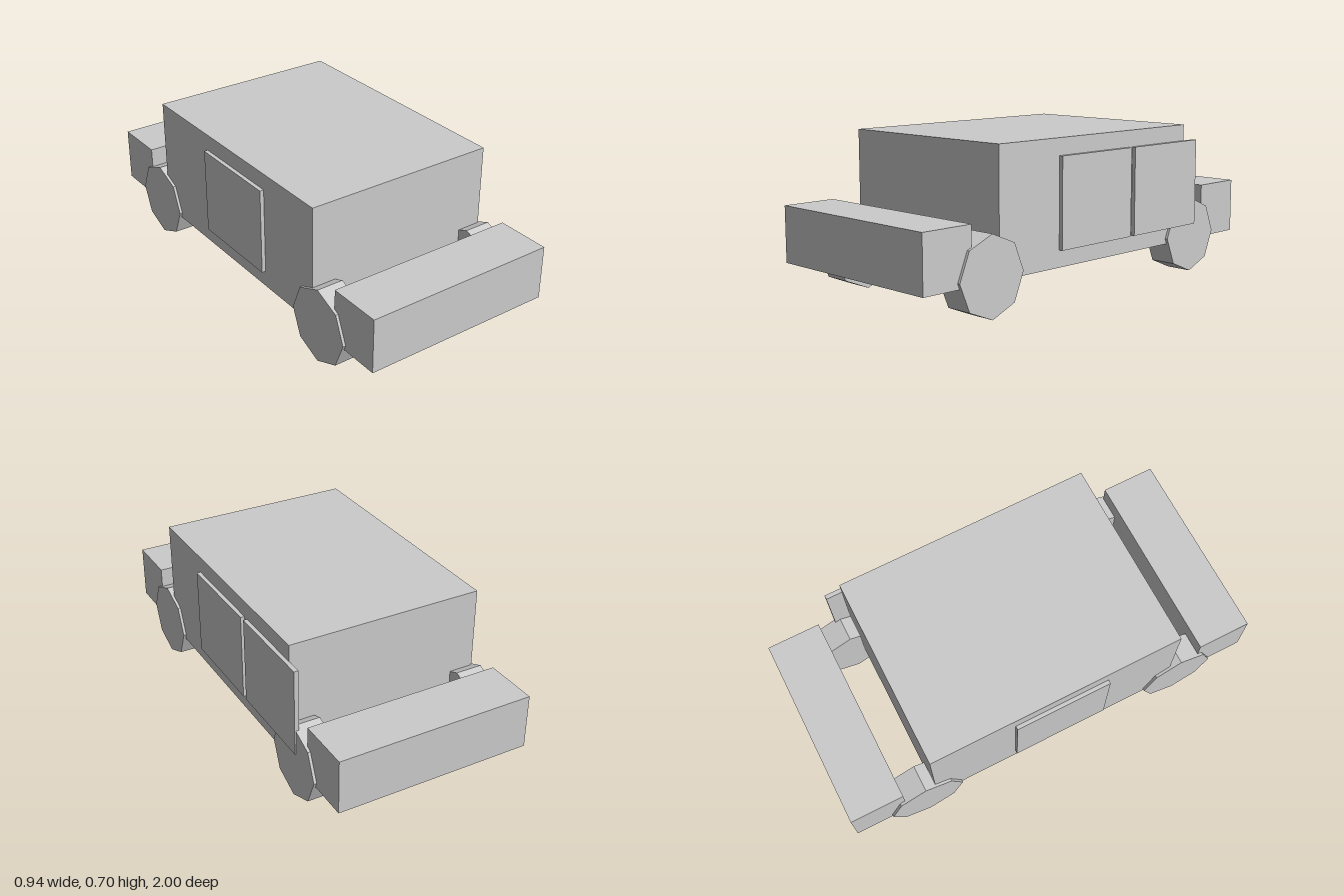
import * as THREE from 'three';

const material = new THREE.MeshStandardMaterial({ color: 0xcccccc, flatShading: true });

export function createModel() {
  const model = new THREE.Group();

  function add(name, geometry, x, y, z) {
    const mesh = new THREE.Mesh(geometry, material);
    mesh.name = name;
    mesh.position.set(x, y, z);
    model.add(mesh);
  }

  // Main cabin block
  add('body', new THREE.BoxGeometry(0.9, 0.55, 1.2), 0, 0.425, 0);

  // Bumper blocks, separated from the body by a gap at each end
  const bumper = new THREE.BoxGeometry(0.9, 0.25, 0.25);
  add('frontBumper', bumper, 0, 0.275, 0.875);
  add('rearBumper', bumper, 0, 0.275, -0.875);

  // Eight-sided wheels with a corner pointing down
  const wheel = new THREE.CylinderGeometry(0.175, 0.175, 0.125, 8).rotateZ(Math.PI / 2);
  for (const [end, z] of [['front', 0.65], ['rear', -0.65]]) {
    add(end + 'LeftWheel', wheel, 0.4, 0.175, z);
    add(end + 'RightWheel', wheel, -0.4, 0.175, z);
  }

  // Thin door panels: two on the left, one on the right
  const door = new THREE.BoxGeometry(0.02, 0.4, 0.45);
  add('frontLeftDoor', door, 0.458, 0.425, 0.025);
  add('rearLeftDoor', door, 0.458, 0.425, -0.45);
  add('rightDoor', door, -0.458, 0.425, 0.025);

  return model;
}
